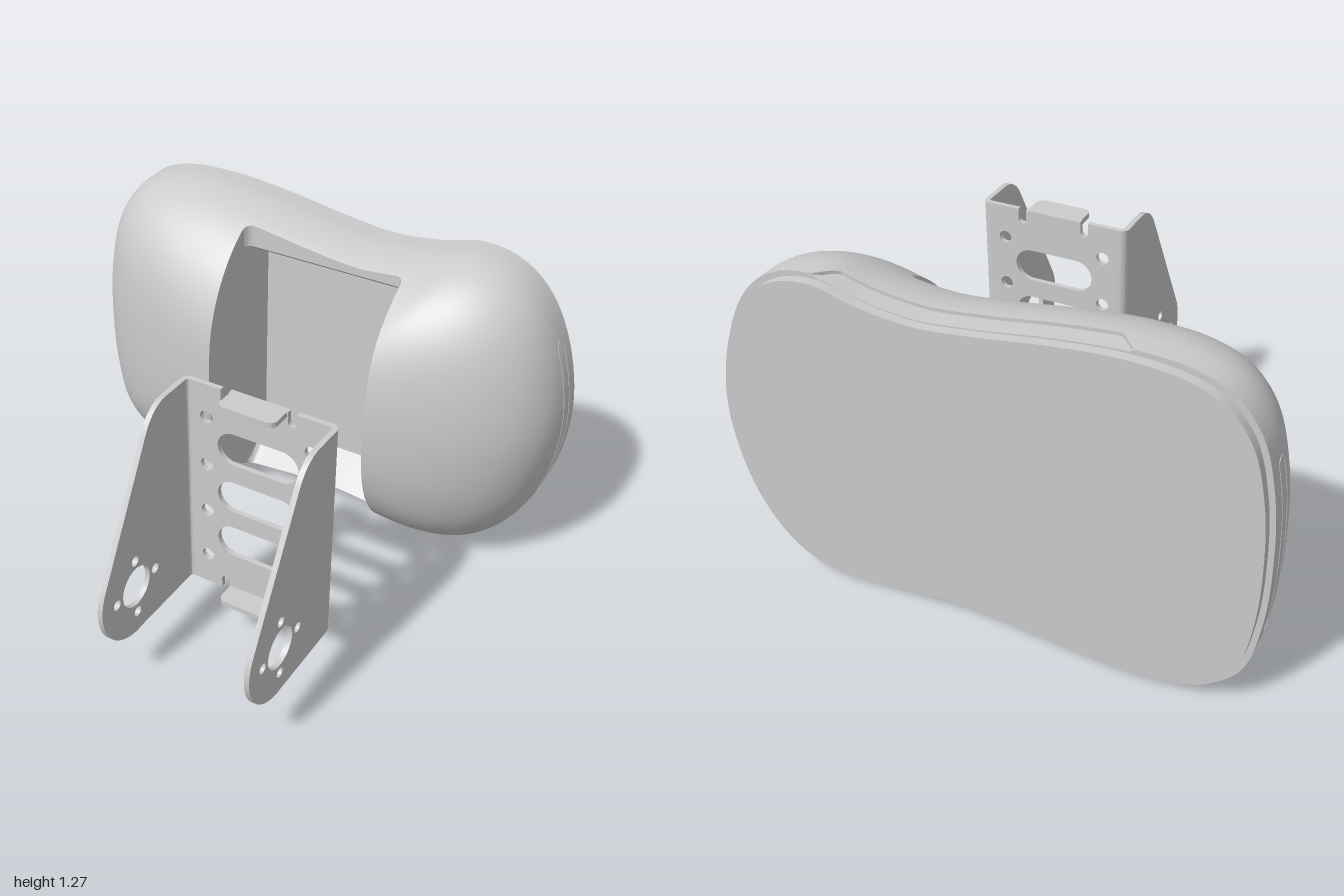
import * as THREE from 'three';
import { toCreasedNormals } from 'three/addons/utils/BufferGeometryUtils.js';

const grey = new THREE.MeshStandardMaterial({ color: 0xcccccc, side: THREE.DoubleSide });

// Pillow shell: an outline in x/y, straight from Z0 to Z1, then shrinking towards (CX, CY) as z comes forward
const Z0 = -0.79, Z1 = -0.73, DEPTH = 0.482, POWER_X = 2.4, POWER_Y = 2.0, CX = 0.05, CY = 0.64;
const NOTCH_L = -0.29, NOTCH_R = 0.38, NOTCH_Z = -0.54, LOW_LIP_Z = -0.58, POCKET_Z = -0.71;

const outline = new THREE.CatmullRomCurve3([
  [-1, 0.64], [-0.985, 0.89], [-0.935, 1.09], [-0.85, 1.2], [-0.73, 1.255], [-0.53, 1.273], [-0.3, 1.255],
  [0, 1.21], [0.2, 1.19], [0.4, 1.21], [0.58, 1.25], [0.73, 1.22], [0.85, 1.125], [0.95, 0.93],
  [1, 0.64], [0.95, 0.34], [0.85, 0.15], [0.73, 0.045], [0.58, 0.005], [0.3, 0.03], [0.08, 0.048],
  [-0.3, 0.02], [-0.55, 0.005], [-0.73, 0.025], [-0.85, 0.075], [-0.935, 0.175], [-0.985, 0.38],
].map(([x, y]) => new THREE.Vector3(x, y, 0)), true).getPoints(405);

// Outermost crossing of the outline with a line; sign picks the top/bottom or left/right one
function crossing(along, across, value, sign, fallback) {
  let best = null;
  for (let i = 0; i < outline.length - 1; i++) {
    const a = outline[i], b = outline[i + 1];
    if ((a[along] - value) * (b[along] - value) > 0 || a[along] === b[along]) continue;
    const v = THREE.MathUtils.mapLinear(value, a[along], b[along], a[across], b[across]);
    if (best === null || v * sign > best * sign) best = v;
  }
  return best ?? fallback;
}

const shrink = (z, power) =>
  Math.max(1e-4, Math.pow(Math.max(0, 1 - Math.pow(Math.max(0, z - Z1) / DEPTH, power)), 1 / power));

const surfaceY = (x, z, sign) =>
  CY + shrink(z, POWER_Y) * (crossing('x', 'y', CX + (x - CX) / shrink(z, POWER_X), sign, CY) - CY);

const surfaceX = (y, z, sign) =>
  CX + shrink(z, POWER_X) * (crossing('y', 'x', CY + (y - CY) / shrink(z, POWER_Y), sign, sign) - CX);

// Skin over closed [x, y, z] sections, with optional fans over both ends
function loft(sections, capped = false) {
  const n = sections[0].length, last = sections.length - 1, index = [], pos = sections.flat(2);
  for (let i = 0; i < last; i++) {
    for (let j = 0; j < n; j++) {
      const k = (j + 1) % n, a = i * n + j, b = i * n + k;
      index.push(a, a + n, b + n, a, b + n, b);
    }
  }
  for (const end of capped ? [0, last] : []) {
    const centre = pos.length / 3;
    pos.push(...[0, 1, 2].map(c => sections[end].reduce((sum, p) => sum + p[c], 0) / n));
    for (let j = 0; j < n; j++) {
      const a = end * n + j, b = end * n + (j + 1) % n;
      index.push(centre, ...(end === 0 ? [a, b] : [b, a]));
    }
  }
  const g = new THREE.BufferGeometry();
  g.setAttribute('position', new THREE.Float32BufferAttribute(pos, 3));
  g.setIndex(index);
  return toCreasedNormals(g, 0.6);
}

// Half of a slice from back to front, starting with the shallow step along the rear edge
function halfSection(x, zFront, sign) {
  const N = 28, points = [];
  const width = 0.07 * THREE.MathUtils.clamp(Math.min((x + 0.53) / 0.06, (0.58 - x) / 0.06), 0, 1);
  const step = Math.min(0.012, width), zStep = Z0 + width;
  for (const z of [Z0, zStep]) points.push([x, surfaceY(x, z, sign) - sign * step, z]);
  for (let i = 0; i <= N; i++) {
    const z = zStep + (zFront - zStep) * Math.sin((i / N) * Math.PI / 2);
    points.push([x, surfaceY(x, z, sign), z]);
  }
  return points;
}

// Slice of the shell at x: along the bottom to the front, then back along the top
const shellSection = (x, zTop, inner = [], zBottom = zTop) => [
  ...halfSection(x, zBottom, -1),
  ...inner.map(([y, z]) => [x, y, z]),
  ...halfSection(x, zTop, 1).reverse(),
];

function lobe(end, cut) {
  const sections = [], N = 44;
  for (let i = 0; i <= N; i++) {
    const x = end * 0.9995 + (cut - end * 0.9995) * (1 - Math.cos((i / N) * Math.PI / 2));
    const s = (x - CX) / (end - CX);
    sections.push(shellSection(x, Z1 + DEPTH * Math.pow(1 - Math.pow(s, POWER_X), 1 / POWER_X)));
  }
  if (end > 0) sections.reverse();
  return loft(sections, true);
}

// Bridge between the lobes, with the pocket sunk into it and rounded inner corners
function bridge() {
  const sections = [], N = 40, r = 0.035;
  for (let i = 0; i <= N; i++) {
    const t = (1 - Math.cos((i / N) * Math.PI)) / 2;
    const x = NOTCH_L + (NOTCH_R - NOTCH_L) * t;
    const d = Math.max(0, r - Math.min(x - NOTCH_L, NOTCH_R - x));
    const fillet = r - Math.sqrt(r * r - d * d);
    const inner = [[0.18, POCKET_Z], [1.08, POCKET_Z], [1.105, NOTCH_Z - 0.01], [1.115, NOTCH_Z + fillet]];
    sections.push(shellSection(x, NOTCH_Z + fillet, inner, LOW_LIP_Z + fillet));
  }
  return loft(sections);
}

// Fine seam around the long slot on each end
function sideSeam(sign) {
  const r = 0.025, zc = -0.71, pts = [];
  for (const [y0, y1, turn] of [[0.315, 0.955, 0], [0.955, 0.315, Math.PI]]) {
    for (let i = 0; i < 14; i++) {
      pts.push([y0 + (y1 - y0) * i / 14, zc + r * Math.cos(turn)]);
    }
    for (let i = 0; i < 8; i++) {
      const a = turn + Math.PI * i / 8;
      pts.push([y1 + r * Math.sin(a), zc + r * Math.cos(a)]);
    }
  }
  const path = new THREE.CatmullRomCurve3(pts.map(([y, z]) => new THREE.Vector3(surfaceX(y, z, sign), y, z)), true);
  return new THREE.TubeGeometry(path, 120, 0.002, 6, true);
}

const circle = (x, y, r) => new THREE.Path().absarc(x, y, r, 0, Math.PI * 2, true);
const extrude = (shape, depth) =>
  toCreasedNormals(new THREE.ExtrudeGeometry(shape, { depth, bevelEnabled: false, curveSegments: 20 }), 0.6);

// Bracket sheet sizes
const T = 0.02, LOW = 0.165, HIGH = 1.037, LEFT = 0.55, RIGHT = -0.05, MID = 0.25, BACK = 0.257, BEND = 0.03;

function sidePlate() {
  const s = new THREE.Shape(), cz = 0.625, cy = 0.363;
  s.moveTo(BACK + BEND, LOW);
  s.lineTo(cz, LOW);
  s.absarc(cz, cy, 0.2, -Math.PI / 2, 0.5, false);
  s.lineTo(0.53, 0.95);
  s.quadraticCurveTo(0.483, HIGH, 0.4, HIGH);
  s.lineTo(BACK + BEND, HIGH);
  s.holes.push(circle(cz, cy, 0.08));
  for (let i = 0; i < 4; i++) {
    const a = i * Math.PI / 2;
    s.holes.push(circle(cz + 0.115 * Math.cos(a), cy + 0.115 * Math.sin(a), 0.02));
  }
  return extrude(s, T).rotateY(-Math.PI / 2);
}

function backPanel() {
  const s = new THREE.Shape(), x0 = RIGHT + BEND, x1 = LEFT - BEND, w = 0.016;
  s.moveTo(x0, LOW);
  for (const c of [MID - 0.13, MID + 0.13]) {
    s.lineTo(c - w, LOW);
    s.lineTo(c - w, LOW + 0.04);
    s.absarc(c, LOW + 0.04, w, Math.PI, 0, true);
    s.lineTo(c + w, LOW);
  }
  s.lineTo(x1, LOW);
  s.lineTo(x1, HIGH);
  for (const c of [MID + 0.13, MID - 0.13]) {
    s.lineTo(c + w, HIGH);
    s.lineTo(c + w, HIGH - 0.04);
    s.absarc(c, HIGH - 0.04, w, 0, Math.PI, true);
    s.lineTo(c - w, HIGH);
  }
  s.lineTo(x0, HIGH);
  for (const y of [0.805, 0.6, 0.4]) {
    const slot = new THREE.Path();
    slot.absarc(MID + 0.095, y, 0.065, Math.PI / 2, -Math.PI / 2, true);
    slot.absarc(MID - 0.095, y, 0.065, -Math.PI / 2, -Math.PI * 1.5, true);
    s.holes.push(slot);
  }
  for (const y of [0.905, 0.705, 0.5, 0.295]) {
    for (const side of [-1, 1]) s.holes.push(circle(MID + side * 0.205, y, 0.025));
  }
  return extrude(s, T);
}

function bend(cx, from) {
  const s = new THREE.Shape();
  s.absarc(cx, BACK + BEND, BEND, from, from + Math.PI / 2, false);
  s.absarc(cx, BACK + BEND, BEND - T, from + Math.PI / 2, from, true);
  return extrude(s, HIGH - LOW).rotateX(Math.PI / 2);
}

function tab() {
  const s = new THREE.Shape(), h = 0.11, z = 0.365, r = 0.03;
  s.moveTo(MID - h, BACK);
  s.lineTo(MID + h, BACK);
  s.lineTo(MID + h, z - r);
  s.absarc(MID + h - r, z - r, r, 0, Math.PI / 2, false);
  s.absarc(MID - h + r, z - r, r, Math.PI / 2, Math.PI, false);
  return extrude(s, T).rotateX(Math.PI / 2);
}

export function createModel() {
  const model = new THREE.Group(), shell = new THREE.Group(), bracket = new THREE.Group();
  shell.name = 'shell';
  bracket.name = 'bracket';
  model.add(shell, bracket);
  const add = (group, name, geometry, x = 0, y = 0, z = 0) => {
    const mesh = new THREE.Mesh(geometry, grey);
    mesh.name = name;
    mesh.position.set(x, y, z);
    group.add(mesh);
  };

  add(shell, 'rightLobe', lobe(-1, NOTCH_L));
  add(shell, 'leftLobe', lobe(1, NOTCH_R));
  add(shell, 'bridge', bridge());
  const rear = new THREE.Shape(outline.slice(0, -1).map(p => new THREE.Vector2(p.x * 0.98, CY + (p.y - CY) * 0.97)));
  add(shell, 'rearPlate', extrude(rear, 0.04), 0, 0, -0.825);
  add(shell, 'leftSlotSeam', sideSeam(1));
  add(shell, 'rightSlotSeam', sideSeam(-1));

  add(bracket, 'backPanel', backPanel(), 0, 0, BACK);
  add(bracket, 'leftSidePlate', sidePlate(), LEFT);
  add(bracket, 'rightSidePlate', sidePlate(), RIGHT + T);
  add(bracket, 'leftBend', bend(LEFT - BEND, -Math.PI / 2), 0, HIGH, 0);
  add(bracket, 'rightBend', bend(RIGHT + BEND, Math.PI), 0, HIGH, 0);
  add(bracket, 'topTab', tab(), 0, HIGH, 0);
  add(bracket, 'bottomTab', tab(), 0, LOW + T, 0);
  return model;
}
